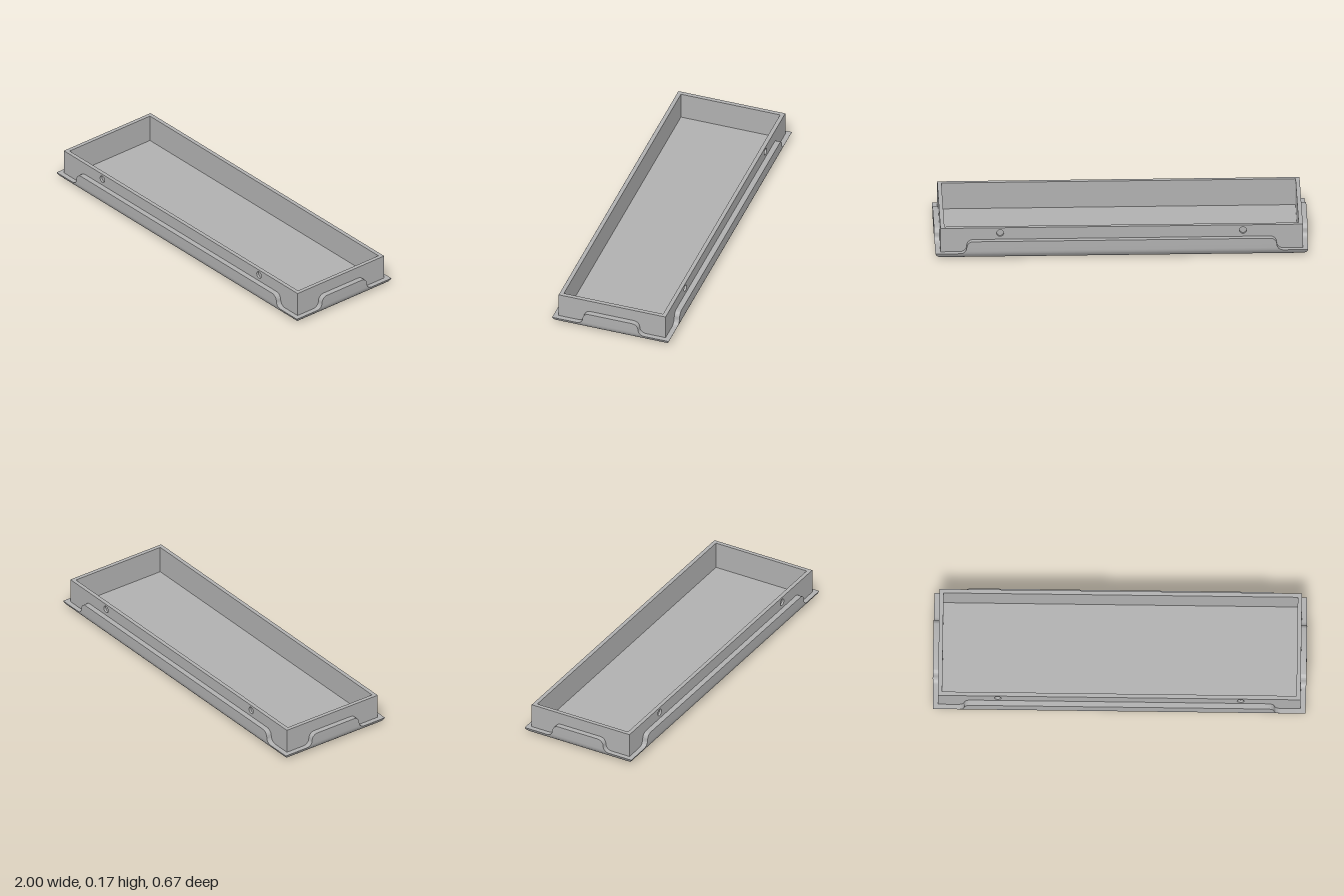
import * as THREE from 'three';
import { toCreasedNormals } from 'three/addons/utils/BufferGeometryUtils.js';

const HALF_X = 1, HALF_Z = 0.333;   // outer footprint
const LIP = 0.03;                   // lip width outside the tray walls
const ROUND = 0.05;                 // radius of the lower edge
const LOW = 0.035, HIGH = 0.105;    // lip height at corners and at the raised tab
const TOP = 0.172, WALL = 0.022;

// Stations [position, height] along one side: low corner, S-curve, raised tab, mirrored
function lipStations(half, tabHalf) {
  const r = (HIGH - LOW) / 2, n = 8, right = [];
  for (let i = 0; i <= n; i++) {
    const a = (i / n) * Math.PI / 2;
    right.push([tabHalf + r * Math.sin(a), HIGH - r + r * Math.cos(a)]);
  }
  for (let i = 1; i <= n; i++) {
    const a = (i / n) * Math.PI / 2;
    right.push([tabHalf + 2 * r - r * Math.cos(a), LOW + r - r * Math.sin(a)]);
  }
  right.push([half, LOW]);
  const left = right.map(([s, h]) => [-s, h]).reverse();
  return [...left, ...right];
}

// Lip facing +z with a rounded lower edge and mitred ends
function lipGeometry(half, tabHalf, depth) {
  const stations = lipStations(half, tabHalf), pos = [], idx = [];
  const n = 10, cols = n + 3;
  for (const [s, h] of stations) {
    const yArc = Math.min(h, ROUND);
    const end = Math.acos(1 - yArc / ROUND);
    const section = [];
    for (let j = 0; j <= n; j++) {
      const a = end * j / n;
      section.push([ROUND - ROUND * Math.sin(a), ROUND - ROUND * Math.cos(a)]);
    }
    section.push([section[n][0], h], [LIP, h]);
    for (const [d, y] of section) {
      pos.push(THREE.MathUtils.clamp(s, d - half, half - d), y, depth - d);
    }
  }
  for (let i = 0; i < stations.length - 1; i++) {
    for (let j = 0; j < cols - 1; j++) {
      const a = i * cols + j, b = a + cols;
      idx.push(a, b, b + 1, a, b + 1, a + 1);
    }
  }
  const g = new THREE.BufferGeometry();
  g.setAttribute('position', new THREE.Float32BufferAttribute(pos, 3));
  g.setIndex(idx);
  return toCreasedNormals(g, 0.6);
}

// Outer skin of a long wall, pierced by two round dimples
function dimpledSkin(halfX, y0, y1, thickness) {
  const shape = new THREE.Shape();
  shape.moveTo(-halfX, y0).lineTo(halfX, y0).lineTo(halfX, y1).lineTo(-halfX, y1).closePath();
  for (const x of [-0.65, 0.65]) {
    shape.holes.push(new THREE.Path().absarc(x, 0.141, 0.019, 0, Math.PI * 2, true));
  }
  return new THREE.ExtrudeGeometry(shape, { depth: thickness, bevelEnabled: false, curveSegments: 16 });
}

export function createModel() {
  const group = new THREE.Group();
  const grey = new THREE.MeshStandardMaterial({ color: 0xb0b0b0 });
  grey.name = 'grey';
  const add = (name, geometry, x = 0, y = 0, z = 0, turn = 0) => {
    const mesh = new THREE.Mesh(geometry, grey);
    mesh.name = name;
    mesh.position.set(x, y, z);
    mesh.rotation.y = turn;
    group.add(mesh);
  };

  // Floor plate
  add('floor', new THREE.BoxGeometry(2 * (HALF_X - ROUND), 0.02, 2 * (HALF_Z - ROUND)), 0, 0.01, 0);

  // Upright tray walls
  const wx = HALF_X - LIP, wz = HALF_Z - LIP, y0 = 0.01, skin = 0.012;
  const h = TOP - y0, yMid = (TOP + y0) / 2;
  for (const side of [1, -1]) {
    const turn = side > 0 ? 0 : Math.PI;
    add('endWall', new THREE.BoxGeometry(WALL, h, 2 * (wz - WALL)), side * (wx - WALL / 2), yMid, 0);
    add('longWallInner', new THREE.BoxGeometry(2 * wx, h, WALL - skin),
      0, yMid, side * (wz - skin - (WALL - skin) / 2));
    add('longWallOuter', dimpledSkin(wx, y0, TOP, skin), 0, 0, side * (wz - skin), turn);
  }

  // Rounded lip with a raised tab on every side
  const longLip = lipGeometry(HALF_X, 0.795, HALF_Z);
  const endLip = lipGeometry(HALF_Z, 0.122, HALF_X);
  for (let k = 0; k < 4; k++) {
    add(k % 2 ? 'endLip' : 'longLip', k % 2 ? endLip : longLip, 0, 0, 0, k * Math.PI / 2);
  }
  return group;
}
